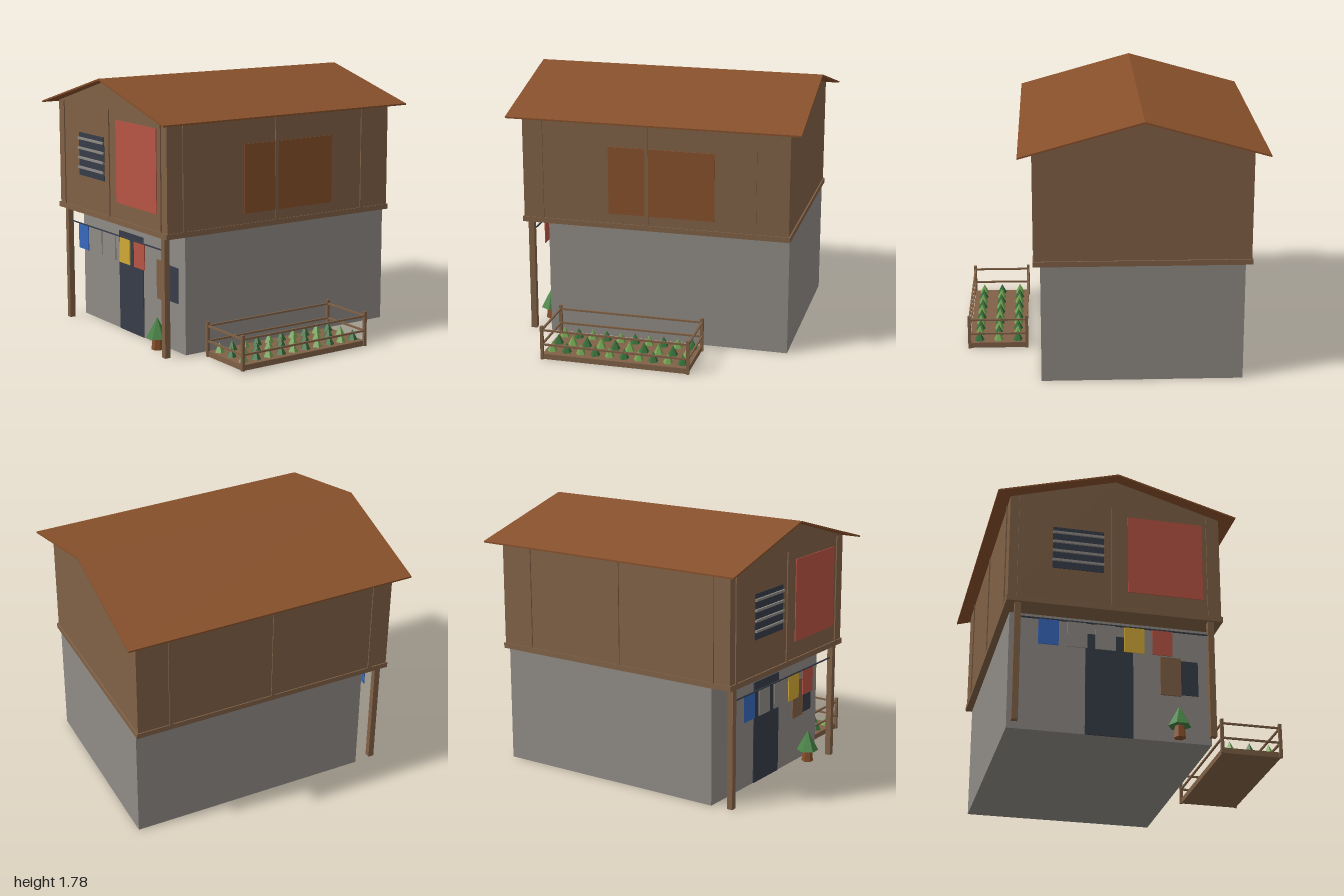
import * as THREE from 'three';

const mat = (name, color) => {
  const m = new THREE.MeshStandardMaterial({ color });
  m.name = name;
  return m;
};

export function createModel() {
  const root = new THREE.Group();
  root.name = 'stiltHouse';
  const wood = mat('wood', 0x806146);
  const rust = mat('rustBrown', 0x87502b);
  const concrete = mat('concreteGrey', 0x8f8b85);
  const dark = mat('darkSlate', 0x363c48);
  const red = mat('red', 0xb85444);
  const blue = mat('blue', 0x3768bd);
  const yellow = mat('yellow', 0xd2a936);
  const green = mat('darkGreen', 0x356f38);
  const leaf = mat('lightGreen', 0x74a552);
  const conifer = mat('treeGreen', 0x468243);
  green.flatShading = leaf.flatShading = conifer.flatShading = rust.flatShading = true;

  const add = (name, geo, material, parent = root) => {
    const m = new THREE.Mesh(geo, material);
    m.name = name;
    parent.add(m);
    return m;
  };
  // Box given by its extents on each axis
  const box = (name, material, [x0, x1], [y0, y1], [z0, z1], parent = root) => {
    const m = add(name, new THREE.BoxGeometry(x1 - x0, y1 - y0, z1 - z0), material, parent);
    m.position.set((x0 + x1) / 2, (y0 + y1) / 2, (z0 + z1) / 2);
    return m;
  };
  // Outline in x and y, extruded from z0 to z1
  const prism = (name, material, pts, z0, z1) => {
    const shape = new THREE.Shape(pts.map(p => new THREE.Vector2(...p)));
    const geo = new THREE.ExtrudeGeometry(shape, { depth: z1 - z0, bevelEnabled: false });
    geo.translate(0, 0, z0);
    return add(name, geo, material);
  };

  const cx = -0.19; // centre line of the house

  // Ground floor, floor beam and gabled upper floor
  box('groundFloor', concrete, [cx - 0.665, cx + 0.665], [0, 0.802], [-0.915, 0.755]);
  box('floorBeam', wood, [cx - 0.712, cx + 0.712], [0.802, 0.838], [-0.926, 0.926]);
  prism('upperFloor', wood, [
    [cx - 0.705, 0.83], [cx + 0.705, 0.83], [cx + 0.705, 1.565],
    [cx, 1.77], [cx - 0.705, 1.565],
  ], -0.916, 0.916);

  // Thin roof
  prism('roof', rust, [
    [cx - 0.8, 1.545], [cx, 1.768], [cx + 0.8, 1.545],
    [cx + 0.8, 1.556], [cx, 1.78], [cx - 0.8, 1.556],
  ], -1, 1);

  // Veranda posts and wall battens
  for (const s of [-1, 1]) {
    const px = cx + s * 0.635;
    box('verandaPost', wood, [px - 0.02, px + 0.02], [0, 0.81], [0.868, 0.908]);
    for (const z of [0.785, 0.05, -0.685]) {
      const wx = cx + s * 0.705;
      box('sideBatten', wood, [wx - 0.008, wx + 0.008], [0.838, 1.56], [z - 0.012, z + 0.012]);
    }
  }
  for (const x of [-0.825, -0.21, 0.437])
    box('frontBatten', wood, [x - 0.012, x + 0.012], [0.838, 1.57], [0.91, 0.924]);

  // Upper front: barred window and red panel
  box('upperWindow', dark, [-0.61, -0.27], [1.07, 1.37], [0.914, 0.92]);
  for (const y of [1.33, 1.262, 1.195, 1.127])
    box('windowBar', concrete, [-0.61, -0.27], [y - 0.008, y + 0.008], [0.918, 0.932]);
  box('redPanel', red, [-0.11, 0.395], [0.95, 1.507], [0.914, 0.922]);

  // Wide shutter on the left wall
  box('sideShutter', rust, [0.513, 0.52], [0.905, 1.37], [-0.415, 0.315]);

  // Ground floor front: door, window and open shutter
  box('door', dark, [-0.355, -0.04], [0, 0.7], [0.753, 0.76]);
  box('lowerWindow', dark, [0.2, 0.393], [0.33, 0.57], [0.753, 0.76]);
  box('openShutter', wood, [0.14, 0.277], [0.318, 0.585], [0.756, 0.766]);

  // Washing line with five cloths
  const line = new THREE.Group();
  line.name = 'washingLine';
  root.add(line);
  box('line', dark, [-0.81, 0.43], [0.708, 0.716], [0.884, 0.892], line);
  [blue, concrete, concrete, yellow, red].forEach((m, i) => {
    const x = -0.622 + i * 0.186;
    box('cloth', m, [x - 0.066, x + 0.066], [0.535, 0.71], [0.885, 0.891], line);
  });

  // Small tree by the door
  const tree = new THREE.Group();
  tree.name = 'tree';
  tree.position.set(0.243, 0, 0.83);
  root.add(tree);
  const trunk = add('trunk', new THREE.CylinderGeometry(0.03, 0.04, 0.1, 6), rust, tree);
  trunk.position.y = 0.05;
  const crown = add('crown', new THREE.ConeGeometry(0.075, 0.14, 6), conifer, tree);
  crown.position.y = 0.15;
  trunk.rotation.y = crown.rotation.y = Math.PI / 6;

  // Fenced vegetable bed
  const bed = new THREE.Group();
  bed.name = 'vegetableBed';
  root.add(bed);
  const [x0, x1, z0, z1] = [0.578, 0.975, -0.35, 0.65];
  box('soilBed', wood, [x0, x1], [0, 0.037], [z0, z1], bed);
  for (const x of [x0, x1])
    for (const z of [z0, z1])
      box('fencePost', wood, [x - 0.01, x + 0.01], [0, 0.235], [z - 0.01, z + 0.01], bed);
  const t = 0.006;
  for (const y of [0.105, 0.207]) {
    for (const x of [x0, x1])
      box('longRail', wood, [x - t, x + t], [y - t, y + t], [z0, z1], bed);
    for (const z of [z0, z1])
      box('shortRail', wood, [x0, x1], [y - t, y + t], [z - t, z + t], bed);
  }
  // Checkered rows of plants
  const plant = new THREE.ConeGeometry(0.036, 0.07, 5);
  for (let r = 0; r < 10; r++)
    for (let c = 0; c < 3; c++) {
      const p = add('plant', plant, (r + c) % 2 ? leaf : green, bed);
      p.position.set(0.642 + c * 0.133, 0.07, -0.3 + r * 0.1);
    }
  return root;
}
